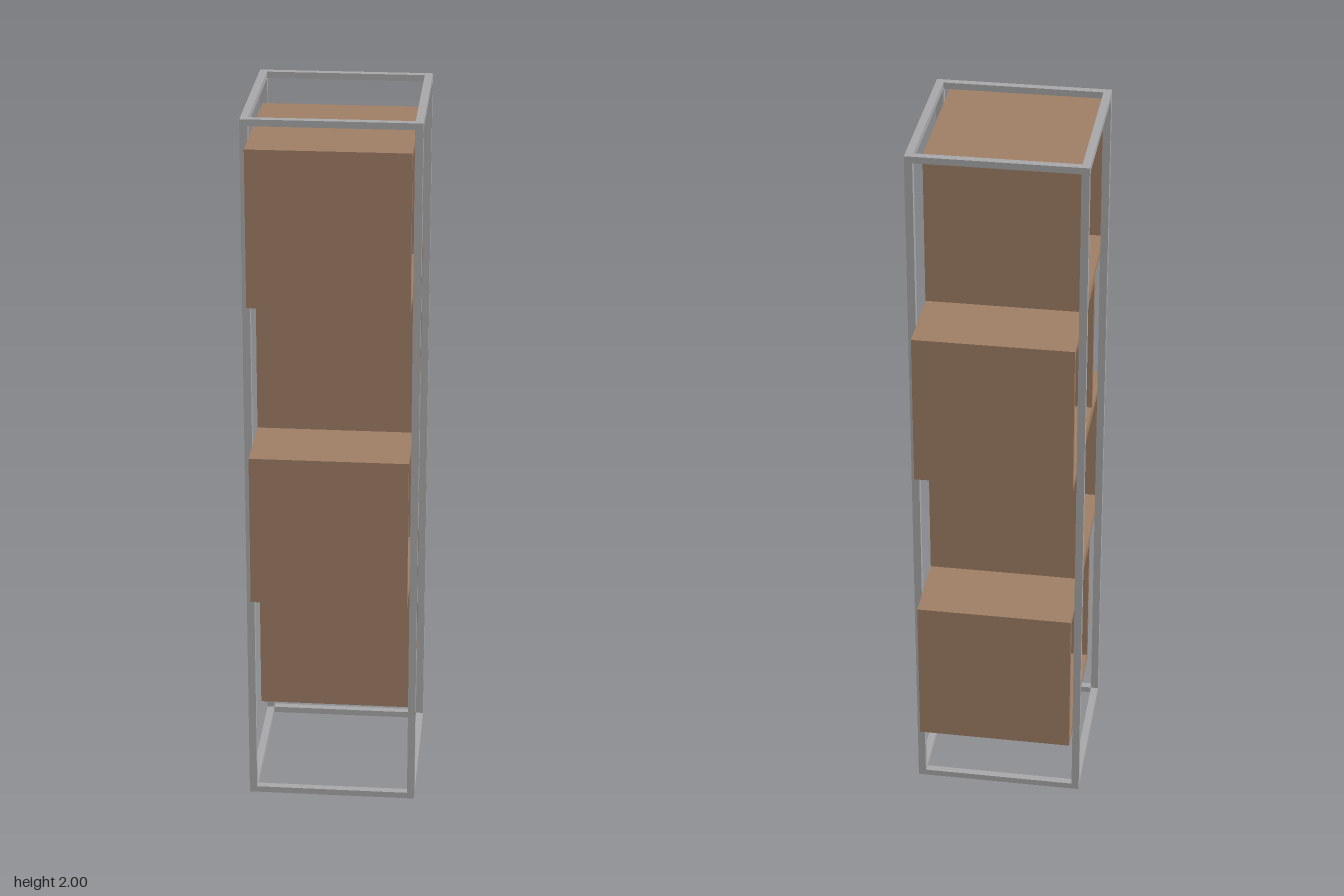
import * as THREE from 'three';

export function createModel() {
  const wood = new THREE.MeshStandardMaterial({ name: 'wood', color: 0xa07f65 });
  const metal = new THREE.MeshStandardMaterial({ name: 'grey metal', color: 0xa9a9ab });

  const box = (parent, name, material, size, position) => {
    const mesh = new THREE.Mesh(new THREE.BoxGeometry(...size), material);
    mesh.name = name;
    mesh.position.set(...position);
    parent.add(mesh);
  };

  const model = new THREE.Group();
  model.name = 'cubeShelf';
  model.rotation.y = 0.05; // the shelf stands slightly turned

  // Open metal frame: four posts joined by rails at top and bottom
  const frame = new THREE.Group();
  frame.name = 'frame';
  frame.position.z = -0.001;
  model.add(frame);
  const W = 0.4736, D = 0.4856, H = 2, bar = 0.021, rail = 0.018;
  const px = (W - bar) / 2, pz = (D - bar) / 2;
  for (const sx of [-1, 1]) {
    for (const sz of [-1, 1]) {
      box(frame, 'post', metal, [bar, H, bar], [sx * px, H / 2, sz * pz]);
    }
  }
  for (const y of [rail / 2, H - rail / 2]) {
    for (const s of [-1, 1]) {
      box(frame, 'crossRail', metal, [W - 2 * bar, rail, bar], [0, y, s * pz]);
      box(frame, 'sideRail', metal, [bar, rail, D - 2 * bar], [s * px, y, 0]);
    }
  }

  // Stacked cubes, open at both sides, alternately shifted back and forward
  const S = 0.4305, t = 0.017, base = 0.222;
  for (let i = 0; i < 4; i++) {
    const cube = new THREE.Group();
    cube.name = 'shelfCube';
    cube.position.set(-0.001, base + (i + 0.5) * S, (i % 2 ? 0.107 : -0.107) - 0.001);
    for (const s of [-1, 1]) {
      box(cube, s > 0 ? 'topPanel' : 'bottomPanel', wood, [S, t, S], [0, s * (S - t) / 2, 0]);
      box(cube, s > 0 ? 'frontPanel' : 'backPanel', wood, [S, S - 2 * t, t], [0, 0, s * (S - t) / 2]);
    }
    model.add(cube);
  }

  const root = new THREE.Group();
  root.name = 'shelfTower';
  root.add(model);
  return root;
}
